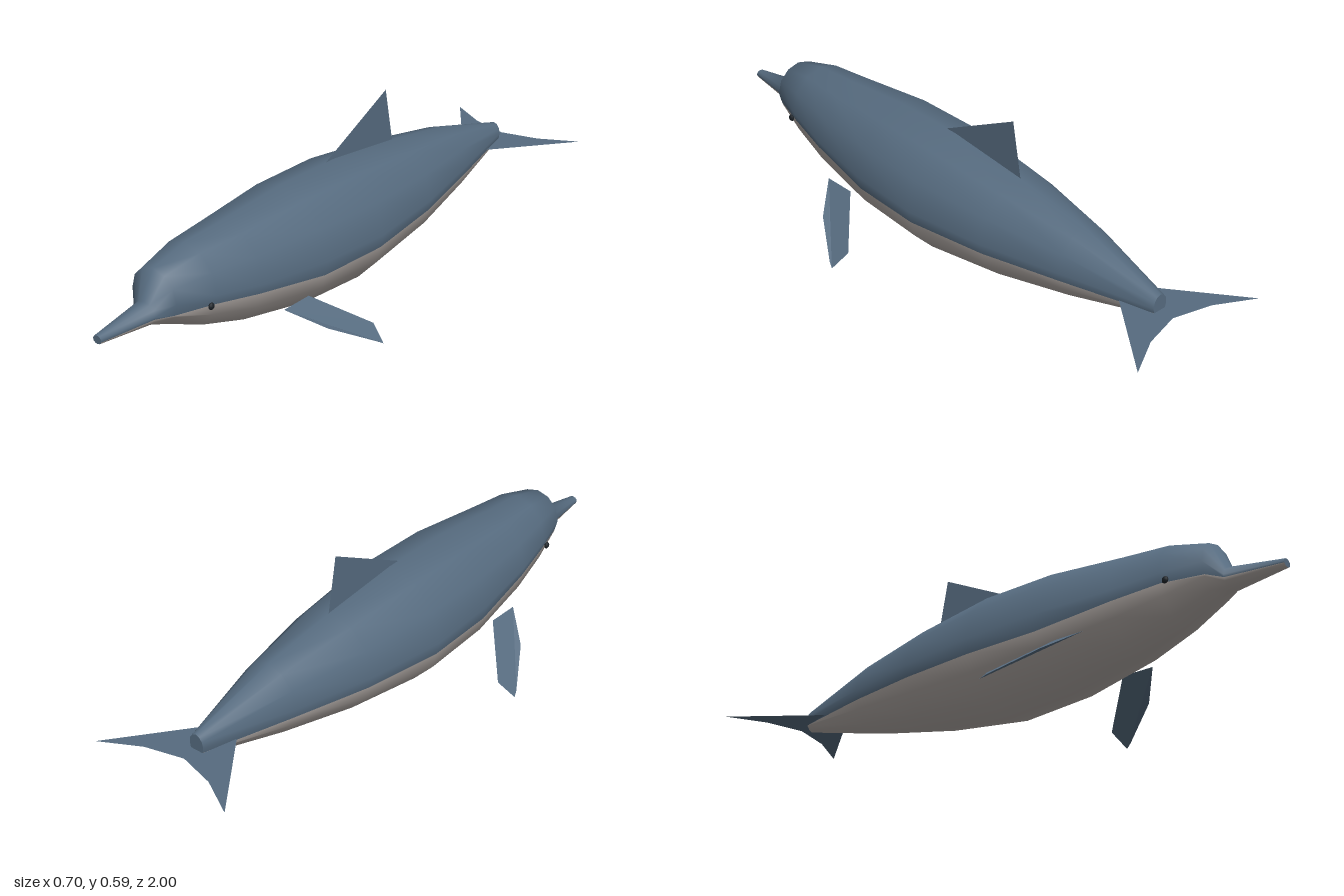
import * as THREE from 'three';

export function createModel() {
  const model = new THREE.Group();
  model.name = 'dolphin';

  const skin = new THREE.MeshStandardMaterial({ color: 0x566b7f, side: THREE.DoubleSide });
  skin.name = 'slate blue skin';
  const belly = new THREE.MeshStandardMaterial({ color: 0xb0a9a5 });
  belly.name = 'pale belly';
  const eyeDark = new THREE.MeshStandardMaterial({ color: 0x1c2228 });
  eyeDark.name = 'dark eye';

  const add = (name, geometry, material) => {
    const mesh = new THREE.Mesh(geometry, material);
    mesh.name = name;
    model.add(mesh);
    return mesh;
  };

  // Body sections, beak to tail: z, top y, bottom y, half width, belly line y
  const sections = [
    [1.0, 0.25, 0.224, 0.016, 0.233],
    [0.82, 0.28, 0.21, 0.042, 0.237],
    [0.78, 0.368, 0.197, 0.086, 0.245],
    [0.655, 0.402, 0.142, 0.12, 0.243],
    [0.5, 0.413, 0.096, 0.151, 0.224],
    [0.25, 0.437, 0.052, 0.187, 0.195],
    [0, 0.438, 0.04, 0.194, 0.195],
    [-0.28, 0.41, 0.08, 0.16, 0.208],
    [-0.55, 0.37, 0.138, 0.102, 0.225],
    [-0.85, 0.292, 0.22, 0.026, 0.239],
  ];

  // Each ring is a twelve-sided oval with one extra point per side on the belly line
  const positions = [];
  const ringSize = 14;
  for (const [z, top, bottom, w, line] of sections) {
    const cy = (top + bottom) / 2;
    const h = (top - bottom) / 2;
    const drop = THREE.MathUtils.clamp((cy - line) / h, 0.03, 0.47);
    const seamX = 1 - (drop / 0.5) * (1 - Math.cos(Math.PI / 6));
    const ring = [[seamX, -drop]];
    for (let k = 0; k <= 6; k++) ring.push([Math.cos(k * Math.PI / 6), Math.sin(k * Math.PI / 6)]);
    ring.push([-seamX, -drop]);
    for (let k = 7; k <= 11; k++) ring.push([Math.cos(k * Math.PI / 6), Math.sin(k * Math.PI / 6)]);
    for (const [x, y] of ring) positions.push(x * w, cy + y * h, z);
  }

  // The first eight strips form the back, the other six the belly
  const strips = (from, to) => {
    const out = [];
    for (let s = 0; s < sections.length - 1; s++) {
      for (let i = from; i < to; i++) {
        const j = (i + 1) % ringSize;
        const f = s * ringSize;
        const b = f + ringSize;
        out.push(f + i, b + i, f + j, f + j, b + i, b + j);
      }
    }
    return out;
  };
  const backFaces = strips(0, 8);
  const bellyFaces = strips(8, 14);
  const body = new THREE.BufferGeometry();
  body.setAttribute('position', new THREE.Float32BufferAttribute(positions, 3));
  body.setIndex([...backFaces, ...bellyFaces]);
  body.addGroup(0, backFaces.length, 0);
  body.addGroup(backFaces.length, bellyFaces.length, 1);
  body.computeVertexNormals();
  add('body', body, [skin, belly]);

  // Flat ends of the beak and the tail stock
  const cap = (name, [z, top, bottom, w], turn) => {
    const geometry = new THREE.CircleGeometry(1, 12);
    geometry.rotateY(turn).scale(w, (top - bottom) / 2, 1);
    geometry.translate(0, (top + bottom) / 2, z);
    add(name, geometry, skin);
  };
  cap('beakTip', sections[0], 0);
  cap('tailEnd', sections[sections.length - 1], Math.PI);

  // Thin fins as fans of triangles around their first corner
  const fin = (name, corners, side = 1) => {
    const points = corners.map(([x, y, z]) => [x * side, y, z]);
    const tris = [];
    for (let i = 1; i < points.length - 1; i++) {
      const pair = side > 0 ? [points[i], points[i + 1]] : [points[i + 1], points[i]];
      tris.push(...points[0], ...pair[0], ...pair[1]);
    }
    const geometry = new THREE.BufferGeometry();
    geometry.setAttribute('position', new THREE.Float32BufferAttribute(tris, 3));
    geometry.computeVertexNormals();
    add(name, geometry, skin);
  };

  fin('dorsalFin', [[0, 0.435, 0.045], [0, 0.588, -0.25], [0, 0.4, -0.287], [0, 0.38, -0.1]]);

  for (const [label, side] of [['left', 1], ['right', -1]]) {
    // Flippers sweep down, out and back
    fin(label + 'Flipper', [
      [0.165, 0.148, 0.425], [0.26, 0.084, 0.34], [0.34, 0.014, 0.21],
      [0.348, 0.002, 0.19], [0.295, 0.045, 0.172], [0.165, 0.15, 0.315],
    ], side);

    // Horizontal tail flukes
    fin(label + 'Fluke', [
      [0, 0.238, -0.7], [0.045, 0.238, -0.735], [0.25, 0.238, -1],
      [0.125, 0.238, -0.932], [0, 0.238, -0.9],
    ], side);

    const eye = add(label + 'Eye', new THREE.SphereGeometry(0.011, 8, 6), eyeDark);
    eye.scale.x = 0.6;
    eye.position.set(side * 0.117, 0.246, 0.675);
  }

  return model;
}
